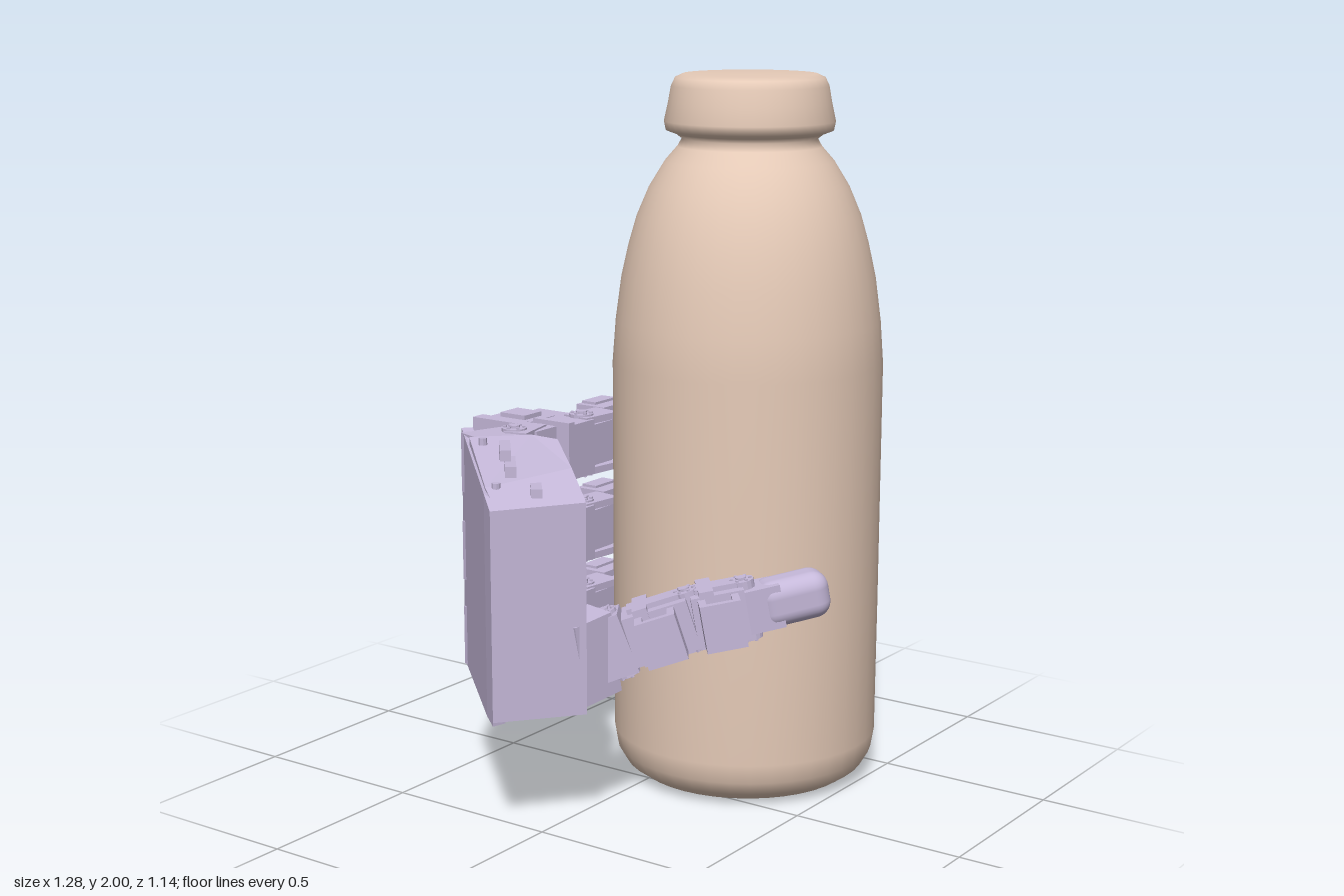
import * as THREE from 'three';
import { RoundedBoxGeometry } from 'three/addons/geometries/RoundedBoxGeometry.js';

const bottleMat = new THREE.MeshStandardMaterial({ color: 0xe6cbb8 });
const handMat = new THREE.MeshStandardMaterial({ color: 0xc5b8d9, flatShading: true });
const tipMat = new THREE.MeshStandardMaterial({ color: 0xc5b8d9 });
const V = (x, y, z) => new THREE.Vector3(x, y, z);

function add(parent, name, geometry, material = handMat) {
  const mesh = new THREE.Mesh(geometry, material);
  mesh.name = name;
  parent.add(mesh);
  return mesh;
}

function box(parent, name, w, h, d, x, y, z) {
  const m = add(parent, name, new THREE.BoxGeometry(w, h, d));
  m.position.set(x, y, z);
  return m;
}

// Group whose x axis runs from a to b, centred between them, y kept upward
function link(parent, name, a, b) {
  const g = new THREE.Group();
  g.name = name;
  const x = b.clone().sub(a).normalize();
  const z = x.clone().cross(V(0, 1, 0)).normalize();
  g.quaternion.setFromRotationMatrix(new THREE.Matrix4().makeBasis(x, z.clone().cross(x), z));
  g.position.copy(a).lerp(b, 0.5);
  g.userData.length = a.distanceTo(b);
  parent.add(g);
  return g;
}

function bar(parent, name, a, b, h, d) {
  const g = link(parent, name, a, b);
  box(g, name + 'Body', g.userData.length, h, d, 0, 0, 0);
  return g;
}

function fingertip(parent, a, b) {
  const g = link(parent, 'fingertip', a, b);
  add(g, 'pad', new RoundedBoxGeometry(g.userData.length, 0.13, 0.12, 4, 0.045), tipMat);
}

// Pivot: a hub with a ring of bolts on both ends
function pivot(parent, x, y, z, h, r = 0.036) {
  const g = new THREE.Group();
  g.name = 'pivot';
  g.position.set(x, y, z);
  add(g, 'hub', new THREE.CylinderGeometry(r, r, h, 16));
  add(g, 'axle', new THREE.CylinderGeometry(r * 0.45, r * 0.45, h + 0.014, 10));
  for (let i = 0; i < 6; i++) {
    const a = (i * Math.PI) / 3;
    const bolt = add(g, 'bolt', new THREE.CylinderGeometry(r * 0.16, r * 0.16, h + 0.01, 6));
    bolt.position.set(Math.cos(a) * r * 0.74, 0, Math.sin(a) * r * 0.74);
  }
  parent.add(g);
  return g;
}

// Two fork arms above and below a joint
function fork(parent, a, b, gap, d) {
  const g = link(parent, 'fork', a, b);
  for (const s of [-1, 1]) box(g, 'forkArm', g.userData.length, 0.02, d, 0, s * gap, 0);
}

function bottle() {
  const pts = [
    [0, 0], [0.27, 0], [0.31, 0.01], [0.345, 0.035], [0.368, 0.075], [0.377, 0.13], [0.379, 0.5],
    [0.38, 1.2], [0.371, 1.32], [0.355, 1.44], [0.335, 1.53], [0.312, 1.61], [0.278, 1.69],
    [0.235, 1.76], [0.2, 1.8], [0.188, 1.822], [0.205, 1.835], [0.232, 1.845], [0.237, 1.87],
    [0.226, 1.92], [0.218, 1.965], [0.207, 1.988], [0.185, 1.998], [0, 2]
  ].map(p => new THREE.Vector2(...p));
  const g = new THREE.Group();
  const m = add(g, 'bottle', new THREE.LatheGeometry(pts, 40), bottleMat);
  m.position.set(0.26, 0, 0.155);
  return m;
}

// Upright prism from a plan outline of [x, z]; the top slopes up from wrist to fingers
function prism(parent, name, outline, bottom) {
  const shape = new THREE.Shape(outline.map(([x, z]) => new THREE.Vector2(x, -z)));
  const geo = new THREE.ExtrudeGeometry(shape, { depth: 1, bevelEnabled: false });
  geo.rotateX(-Math.PI / 2);
  const p = geo.attributes.position;
  for (let i = 0; i < p.count; i++) {
    const t = (p.getX(i) + 0.64) * 0.68 - (p.getZ(i) + 0.05) * 0.73;
    const top = Math.min(1.015, 0.915 + Math.max(t, 0) * 0.32);
    p.setY(i, p.getY(i) > 0.5 ? top : bottom);
  }
  geo.computeVertexNormals();
  return add(parent, name, geo);
}

function palm() {
  const g = new THREE.Group();
  g.name = 'palm';
  prism(g, 'palmBody', [[-0.62, -0.05], [-0.56, -0.13], [-0.33, -0.375], [-0.205, -0.255],
    [-0.21, -0.16], [-0.33, -0.02], [-0.43, 0.1]], 0.34);
  prism(g, 'backPlate', [[-0.64, -0.05], [-0.585, -0.115], [-0.25, -0.47], [-0.225, -0.45],
    [-0.6, -0.04]], 0.33);
  prism(g, 'wristPlate', [[-0.64, -0.05], [-0.62, -0.065], [-0.42, 0.09], [-0.44, 0.11]], 0.34);
  // Cable ribs and screws on the sloping top
  for (const [x, z, y] of [[-0.39, -0.2, 1.01], [-0.43, -0.15, 0.98], [-0.46, -0.04, 0.94]]) {
    const rib = box(g, 'cableRib', 0.13, 0.03, 0.03, x, y, z);
    rib.rotation.y = 0.7;
  }
  for (const [x, z, y] of [[-0.54, -0.11, 0.953], [-0.35, -0.31, 1.015], [-0.42, 0.04, 0.92]]) {
    add(g, 'screw', new THREE.CylinderGeometry(0.012, 0.012, 0.02, 8)).position.set(x, y, z);
  }
  return g;
}

function finger(y) {
  const g = new THREE.Group();
  g.name = 'finger';
  g.position.y = y;
  // Knuckle at the palm
  bar(g, 'knuckleMount', V(-0.3, 0, -0.39), V(-0.17, 0, -0.345), 0.17, 0.12);
  pivot(g, -0.175, 0, -0.34, 0.19);
  fork(g, V(-0.21, 0, -0.31), V(-0.08, 0, -0.34), 0.08, 0.07);
  box(g, 'knuckle', 0.09, 0.17, 0.11, -0.105, 0, -0.335);
  box(g, 'spacer', 0.06, 0.08, 0.07, -0.045, 0, -0.335);
  // Middle segment with its motor on the outer side
  box(g, 'middlePlate', 0.025, 0.18, 0.13, -0.015, 0, -0.325);
  box(g, 'middleSegment', 0.11, 0.16, 0.12, 0.045, 0, -0.325);
  box(g, 'middleCore', 0.14, 0.12, 0.09, 0.15, 0, -0.32);
  pivot(g, 0.11, 0, -0.32, 0.18);
  fork(g, V(0.08, 0, -0.32), V(0.215, 0, -0.305), 0.075, 0.09);
  box(g, 'motorFlange', 0.045, 0.16, 0.17, -0.055, 0, -0.487);
  box(g, 'motor', 0.13, 0.15, 0.15, 0.03, 0, -0.48);
  box(g, 'motorEnd', 0.09, 0.13, 0.13, 0.14, 0.0, -0.47);
  box(g, 'motorCap', 0.08, 0.02, 0.09, 0.03, 0.078, -0.48);
  box(g, 'motorBracket', 0.14, 0.1, 0.03, 0.04, 0, -0.395);
  // Outer joint with its smaller motor
  box(g, 'outerJoint', 0.15, 0.12, 0.085, 0.3, 0, -0.31);
  box(g, 'outerMotor', 0.14, 0.16, 0.1, 0.315, 0, -0.39);
  box(g, 'outerMotorCap', 0.1, 0.175, 0.05, 0.315, 0, -0.41);
  pivot(g, 0.32, 0, -0.305, 0.18);
  fork(g, V(0.29, 0, -0.32), V(0.43, 0, -0.25), 0.07, 0.08);
  bar(g, 'tipHolder', V(0.33, 0, -0.3), V(0.45, 0, -0.24), 0.12, 0.1);
  fingertip(g, V(0.385, 0, -0.275), V(0.565, 0, -0.165));
  return g;
}

function thumb() {
  const g = new THREE.Group();
  g.name = 'thumb';
  const a = V(-0.36, 0.47, 0.03), b = V(-0.29, 0.52, 0.14), c = V(-0.19, 0.575, 0.28);
  const d = V(-0.1, 0.6, 0.39), e = V(0.07, 0.64, 0.54);
  // Mount on the palm
  bar(g, 'thumbMount', V(-0.44, 0.47, 0.05), V(-0.32, 0.49, 0.08), 0.23, 0.1);
  const s1 = bar(g, 'thumbBase', a, b, 0.17, 0.1);
  pivot(s1, 0.03, 0, 0, 0.19);
  // Two segments, each with a bracket on the outer side and a pivot
  for (const [p, q] of [[b, c], [c, d]]) {
    const s = bar(g, 'thumbSegment', p, q, 0.14, 0.12);
    const l = s.userData.length;
    box(s, 'segmentPlate', 0.04, 0.17, 0.13, -l * 0.2, 0, 0);
    for (const k of [-1, 1]) {
      box(s, 'bracketSide', 0.02, 0.13, 0.07, k * 0.045, 0, 0.09);
      box(s, 'sideRail', l * 0.8, 0.018, 0.06, 0, k * 0.075, 0);
    }
    box(s, 'bracketBack', 0.11, 0.13, 0.02, 0, 0, 0.12);
    pivot(s, l / 2, 0, 0, 0.165, 0.034);
  }
  bar(g, 'tipHolder', d.clone().lerp(c, 0.2), d.clone().lerp(e, 0.4), 0.12, 0.11);
  fingertip(g, d.clone().lerp(e, 0.12), e);
  return g;
}

export function createModel() {
  const model = new THREE.Group();
  model.name = 'robotHandHoldingBottle';
  const hand = new THREE.Group();
  hand.name = 'hand';
  hand.add(palm(), thumb());
  for (const y of [0.42, 0.67, 0.925]) hand.add(finger(y));
  model.add(bottle(), hand);
  return model;
}
